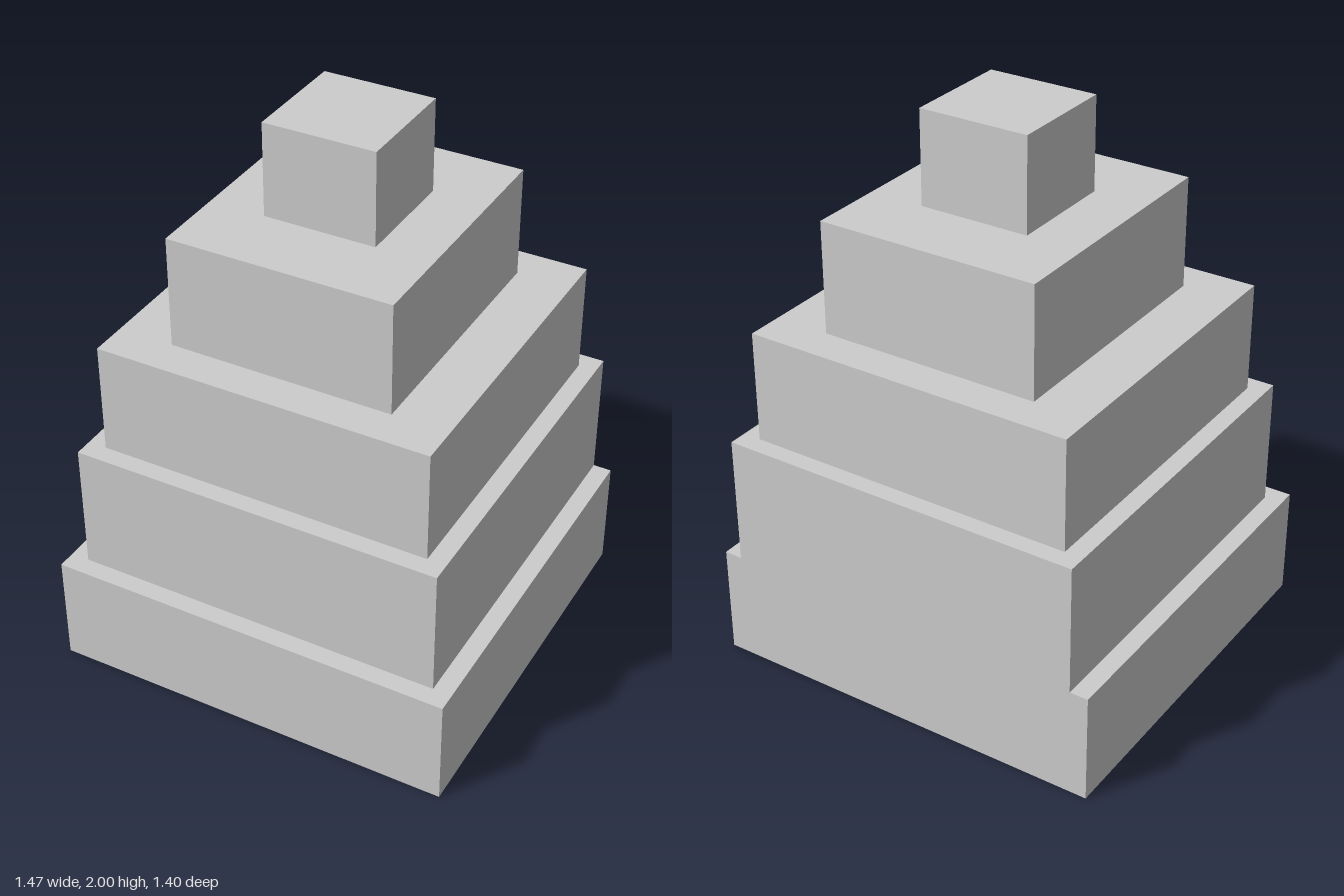
import * as THREE from 'three';

// Tiers from bottom to top: name, width, bottom y, top y, back z, front z
const TIERS = [
  ['baseTier', 1.4667, 0, 0.4, -0.7, 0.7],
  ['secondTier', 1.3333, 0.4, 0.8667, -0.7, 0.6333],
  ['thirdTier', 1.2, 0.8667, 1.2667, -0.6333, 0.5667],
  ['fourthTier', 0.8, 1.2667, 1.6667, -0.5, 0.4333],
  ['topBlock', 0.4, 1.6667, 2, -0.2333, 0.1667],
];

export function createModel() {
  const model = new THREE.Group();
  model.name = 'steppedPyramid';
  const stone = new THREE.MeshStandardMaterial({ color: 0xcccccc });
  stone.name = 'light grey stone';

  // Each tier is a plain block, set slightly off centre in depth
  for (const [name, width, y0, y1, z0, z1] of TIERS) {
    const tier = new THREE.Mesh(new THREE.BoxGeometry(width, y1 - y0, z1 - z0), stone);
    tier.name = name;
    tier.position.set(0, (y0 + y1) / 2, (z0 + z1) / 2);
    model.add(tier);
  }
  return model;
}
